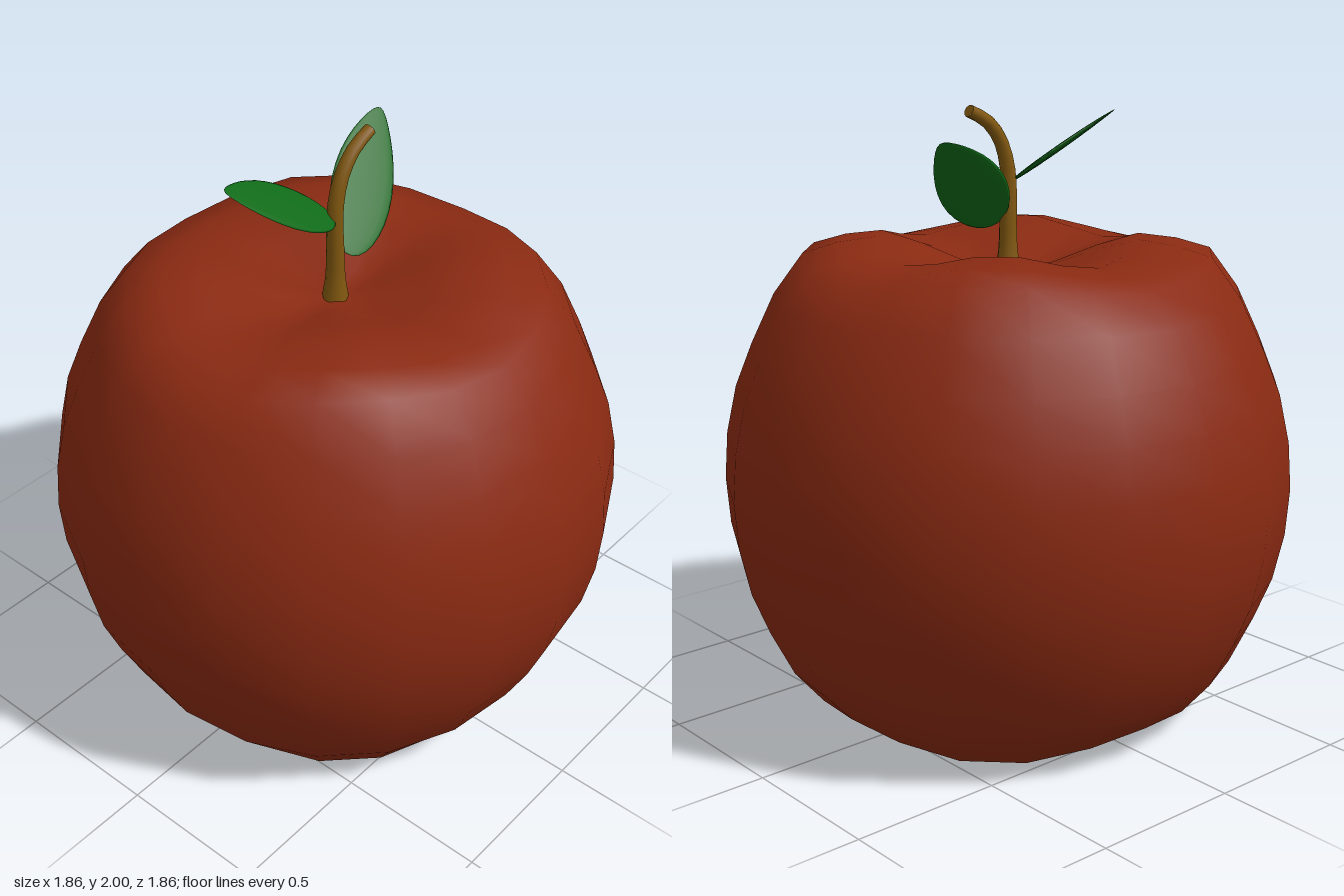
import * as THREE from 'three';
import { mergeVertices } from 'three/addons/utils/BufferGeometryUtils.js';

const skin = new THREE.MeshStandardMaterial({ color: 0x8a2a12 });
skin.name = 'red skin';
const bark = new THREE.MeshStandardMaterial({ color: 0x80570f });
bark.name = 'brown stem';
const green = new THREE.MeshStandardMaterial({ color: 0x0f6a18 });
green.name = 'leaf green';

function addMesh(group, name, geometry, material) {
  const mesh = new THREE.Mesh(geometry, material);
  mesh.name = name;
  group.add(mesh);
}

// Drop seams so the recomputed normals are smooth all round
function smooth(geometry) {
  geometry.deleteAttribute('uv');
  geometry.deleteAttribute('normal');
  const merged = mergeVertices(geometry, 1e-5);
  merged.computeVertexNormals();
  return merged;
}

// Fruit: a sphere with dimpled poles and four soft lobes at top and bottom
function fruitGeometry() {
  const R = 0.93, middle = 0.79, rows = 20;
  // Height above the middle and lobe strength, row by row from pole to equator
  const heights = [0.67, 0.69, 0.735, 0.767, 0.752, 0.722, 0.605, 0.45, 0.31, 0.155, 0];
  const lobes = [0, 0.012, 0.022, 0.028, 0.026, 0.022, 0.008, 0, 0, 0, 0];
  const geometry = new THREE.SphereGeometry(R, 20, rows);
  const p = geometry.attributes.position;
  for (let i = 0; i < p.count; i++) {
    const row = Math.floor(i / 21);
    const k = Math.min(row, rows - row);
    const angle = Math.atan2(p.getZ(i), p.getX(i));
    const h = heights[k] - lobes[k] * Math.cos(4 * angle);
    p.setY(i, middle + (row <= rows / 2 ? h : -h));
  }
  return smooth(geometry);
}

// Stem: a tube that narrows along a bent path, with a closed tip
function addStem(group) {
  const path = new THREE.CatmullRomCurve3([
    [0, 1.44, 0], [0, 1.6, 0], [0, 1.78, 0], [0.03, 1.88, 0], [0.085, 1.945, 0], [0.16, 1.982, 0],
  ].map((a) => new THREE.Vector3(...a)));
  const steps = 14, sides = 10;
  const geometry = new THREE.TubeGeometry(path, steps, 1, sides);
  const p = geometry.attributes.position;
  const v = new THREE.Vector3();
  for (let i = 0; i < p.count; i++) {
    const t = Math.floor(i / (sides + 1)) / steps;
    const centre = path.getPointAt(t);
    const radius = 0.032 - 0.012 * t + 0.014 * Math.max(0, 1 - t * 6);
    v.fromBufferAttribute(p, i).sub(centre).multiplyScalar(radius).add(centre);
    p.setXYZ(i, v.x, v.y, v.z);
  }
  addMesh(group, 'stem', smooth(geometry), bark);

  const tip = new THREE.CircleGeometry(0.02, sides);
  tip.applyQuaternion(new THREE.Quaternion().setFromUnitVectors(
    new THREE.Vector3(0, 0, 1), path.getTangentAt(1)));
  tip.translate(0.16, 1.982, 0);
  addMesh(group, 'stemTip', tip, bark);
}

// Leaf: a thin lens from base to tip, with half-width vector w
function leafGeometry(base, tip, w) {
  const from = new THREE.Vector3(...base), to = new THREE.Vector3(...tip);
  const along = to.clone().sub(from).multiplyScalar(0.5);
  const across = new THREE.Vector3(...w);
  const thick = across.clone().cross(along).setLength(0.008);
  const geometry = new THREE.SphereGeometry(1, 16, 16);
  const p = geometry.attributes.position;
  for (let i = 0; i < p.count; i++) {
    const t = (p.getY(i) + 1) / 2;
    const taper = 1.06 - 0.5 * t ** 3;
    p.setX(i, p.getX(i) * taper);
    p.setZ(i, p.getZ(i) * taper);
  }
  geometry.applyMatrix4(new THREE.Matrix4().makeBasis(across, along, thick)
    .setPosition(from.add(to).multiplyScalar(0.5)));
  return smooth(geometry);
}

export function createModel() {
  const group = new THREE.Group();
  group.name = 'apple';
  addMesh(group, 'fruit', fruitGeometry(), skin);
  addStem(group);
  addMesh(group, 'leftLeaf',
    leafGeometry([0.025, 1.615, 0.025], [0.4, 1.91, -0.155], [-0.055, 0.06, -0.07]), green);
  addMesh(group, 'rightLeaf',
    leafGeometry([-0.01, 1.75, 0], [-0.375, 1.96, -0.095], [0.025, 0.04, -0.08]), green);
  return group;
}
